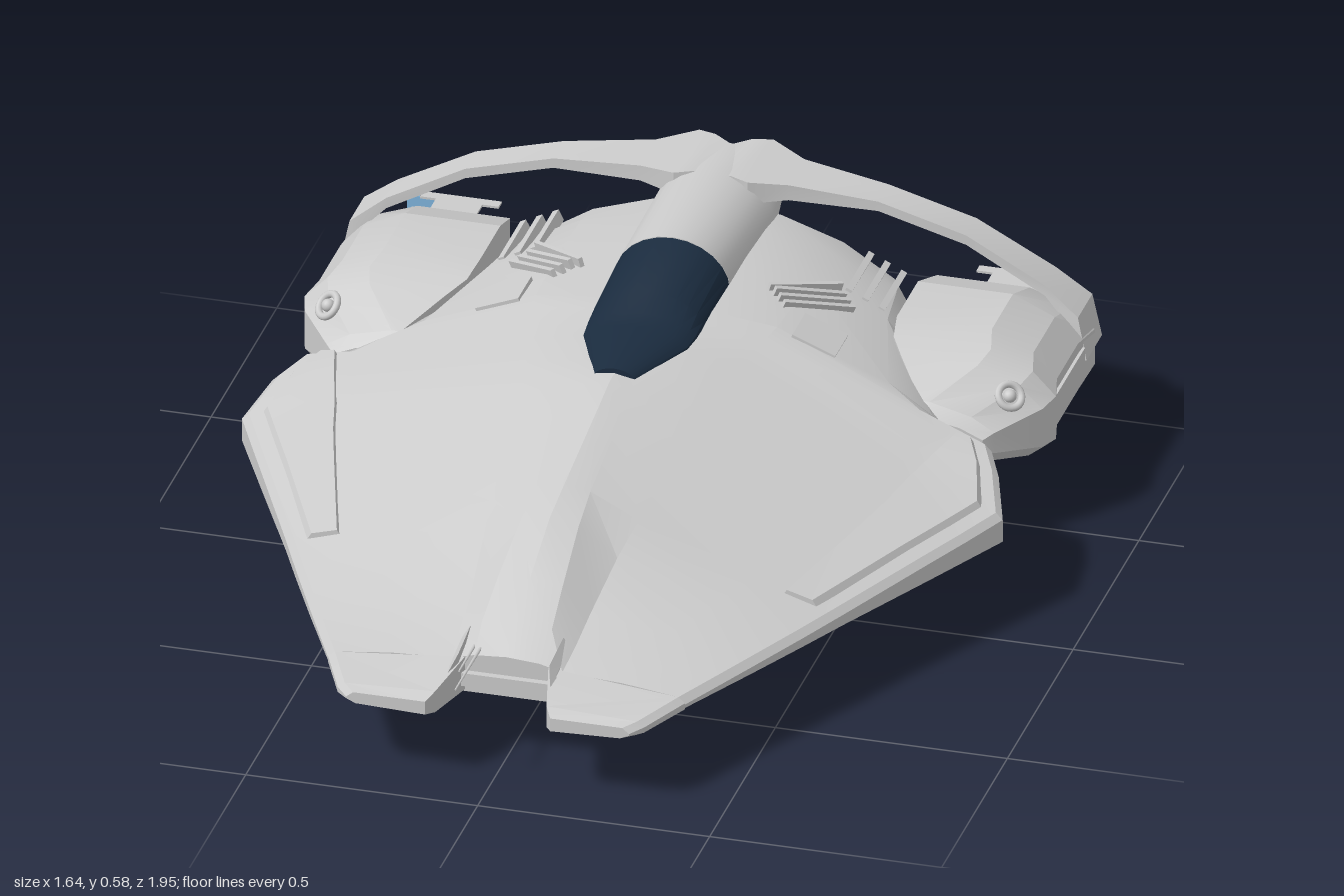
import * as THREE from 'three';
import { toCreasedNormals } from 'three/addons/utils/BufferGeometryUtils.js';
import { RoundedBoxGeometry } from 'three/addons/geometries/RoundedBoxGeometry.js';

const grey = new THREE.MeshStandardMaterial({ color: 0xcccccc });
const glass = new THREE.MeshStandardMaterial({ color: 0x1a2b3e });
const glow = new THREE.MeshStandardMaterial({ color: 0x7fb4dc });

// Closed skin over rings of [x, y, z] points, capped at both ends, always facing outward
function loft(rings, crease = 0.4) {
  const n = rings[0].length, pts = rings.flat(), idx = [];
  for (let i = 0; i < rings.length - 1; i++) {
    for (let k = 0; k < n; k++) {
      const a = i * n + k, b = i * n + (k + 1) % n;
      idx.push(a, a + n, b, b, a + n, b + n);
    }
  }
  [0, rings.length - 1].forEach((r, end) => {
    const c = pts.length;
    pts.push([0, 1, 2].map(d => rings[r].reduce((s, p) => s + p[d], 0) / n));
    for (let k = 0; k < n; k++) {
      const a = r * n + k, b = r * n + (k + 1) % n;
      idx.push(...(end ? [c, b, a] : [c, a, b]));
    }
  });
  const v = pts.map(p => new THREE.Vector3(...p));
  let volume = 0;
  for (let i = 0; i < idx.length; i += 3) {
    volume += v[idx[i]].dot(v[idx[i + 1]].clone().cross(v[idx[i + 2]]));
  }
  if (volume < 0) idx.reverse();
  const g = new THREE.BufferGeometry().setFromPoints(v);
  g.setIndex(idx);
  return toCreasedNormals(g, crease);
}

// Hull stations: z, top y, ridge, shoulder, wing crease, edge x / top / bottom, belly, keel side, keel
const foreHull = [
  [0.78, 0.24, 0.07, 0.235, 0.12, 0.222, 0.25, 0.215, 0.385, 0.2, 0.165, 0.27, 0.155, 0.17, 0.152, 0.1, 0.148],
  [0.7, 0.285, 0.075, 0.275, 0.125, 0.24, 0.27, 0.226, 0.425, 0.203, 0.165, 0.3, 0.152, 0.18, 0.148, 0.11, 0.138],
  [0.6, 0.335, 0.07, 0.325, 0.13, 0.27, 0.3, 0.243, 0.475, 0.207, 0.165, 0.33, 0.15, 0.19, 0.143, 0.12, 0.126],
  [0.45, 0.4, 0.062, 0.388, 0.145, 0.325, 0.37, 0.262, 0.548, 0.212, 0.165, 0.37, 0.147, 0.2, 0.137, 0.14, 0.11],
  [0.34, 0.422, 0.056, 0.412, 0.16, 0.36, 0.42, 0.268, 0.6, 0.216, 0.165, 0.4, 0.145, 0.21, 0.13, 0.15, 0.097],
  [0.1, 0.466, 0.05, 0.455, 0.18, 0.415, 0.51, 0.288, 0.72, 0.232, 0.166, 0.42, 0.145, 0.21, 0.12, 0.16, 0.068],
  [0, 0.486, 0.055, 0.475, 0.19, 0.436, 0.55, 0.297, 0.77, 0.238, 0.167, 0.42, 0.145, 0.21, 0.11, 0.168, 0.014],
];
const aftHull = [
  [-0.1, 0.49, 0.1, 0.475, 0.21, 0.45, 0.58, 0.308, 0.82, 0.246, 0.168, 0.42, 0.145, 0.21, 0.1, 0.17, 0.012],
  [-0.2, 0.493, 0.12, 0.477, 0.225, 0.455, 0.61, 0.318, 0.783, 0.29, 0.169, 0.42, 0.145, 0.21, 0.1, 0.17, 0.012],
  [-0.28, 0.495, 0.122, 0.478, 0.24, 0.46, 0.63, 0.325, 0.745, 0.304, 0.17, 0.42, 0.145, 0.21, 0.1, 0.17, 0.012],
  [-0.315, 0.5, 0.123, 0.482, 0.25, 0.465, 0.58, 0.345, 0.67, 0.3, 0.18, 0.41, 0.145, 0.21, 0.1, 0.17, 0.012],
  [-0.36, 0.5, 0.124, 0.485, 0.26, 0.47, 0.5, 0.375, 0.61, 0.31, 0.19, 0.4, 0.14, 0.21, 0.1, 0.168, 0.012],
  [-0.6, 0.5, 0.13, 0.49, 0.27, 0.46, 0.43, 0.39, 0.51, 0.31, 0.18, 0.37, 0.12, 0.22, 0.09, 0.16, 0.02],
  [-0.74, 0.5, 0.135, 0.485, 0.27, 0.45, 0.41, 0.38, 0.48, 0.3, 0.19, 0.35, 0.14, 0.23, 0.11, 0.155, 0.055],
  [-0.83, 0.49, 0.135, 0.475, 0.27, 0.43, 0.38, 0.36, 0.43, 0.28, 0.2, 0.34, 0.18, 0.24, 0.16, 0.15, 0.13],
];
const stations = [...foreHull, ...aftHull];

function hullRing([z, yt, x1, y1, x2, y2, x3, y3, xe, ye, yf, x5, y5, x6, y6, x7, yb]) {
  const half = [[x1, y1], [x2, y2], [x3, y3], [xe - 0.015, ye], [xe, ye - 0.015], [xe, yf + 0.012], [xe - 0.02, yf],
    [x5, y5], [x6, y6], [x7, yb]];
  return [[0, yt], ...half, [0, yb], ...half.map(([x, y]) => [-x, y]).reverse()].map(p => [...p, z]);
}

// Height of the upper skin, for seating small parts
function topY(x, z) {
  const i = Math.max(0, Math.min(stations.length - 2, stations.findIndex(s => s[0] <= z) - 1));
  const a = stations[i], b = stations[i + 1], t = (a[0] - z) / (a[0] - b[0]);
  const s = a.map((v, k) => v + (b[k] - v) * t);
  const p = [[0, s[1]], [s[2], s[3]], [s[4], s[5]], [s[6], s[7]], [s[8], s[9]]];
  const ax = Math.abs(x), k = Math.max(1, p.findIndex(q => q[0] >= ax));
  return p[k - 1][1] + (p[k][1] - p[k - 1][1]) * (ax - p[k - 1][0]) / (p[k][0] - p[k - 1][0]);
}

// Domed cross-section with a flat base
const dome = ([z, w, base, top]) => Array.from({ length: 13 }, (_, i) => {
  const a = Math.PI * i / 12;
  return [w * Math.cos(a), base + (top - base) * Math.sin(a), z];
});

export function createModel() {
  const model = new THREE.Group();
  const add = (name, geo, mat = grey, pos = [0, 0, 0], parent = model) => {
    const m = new THREE.Mesh(geo, mat);
    m.name = name;
    m.position.set(...pos);
    parent.add(m);
    return m;
  };
  const box = (name, size, pos, mat = grey) => add(name, new THREE.BoxGeometry(...size), mat, pos);
  // Plate lying on the upper skin
  const plate = (name, size, x, z, yaw = 0) => {
    const m = box(name, size, [x, topY(x, z) + 0.002, z]);
    const tilt = Math.atan2(topY(x + 0.01, z) - topY(x - 0.01, z), 0.02);
    m.rotation.set(0, yaw, tilt, 'ZYX');
  };

  add('hull', loft(stations.map(hullRing), 0.3));
  add('canopy', loft([[-0.04, 0.047, 0.47, 0.498], [-0.2, 0.115, 0.47, 0.515], [-0.25, 0.12, 0.47, 0.522],
    [-0.3, 0.121, 0.47, 0.547], [-0.48, 0.124, 0.475, 0.58]].map(dome)), glass);
  add('spine', loft([[-0.48, 0.125, 0.472, 0.582], [-0.8, 0.132, 0.46, 0.582], [-0.93, 0.12, 0.51, 0.572]].map(dome)));

  // Rear arch bridging both engines: x, y, back z, front z, thickness
  const arch = [[0.04, 0.578, -0.95, -0.78, 0.05], [0.08, 0.573, -0.968, -0.77, 0.05], [0.16, 0.563, -0.92, -0.8, 0.035],
    [0.35, 0.547, -0.89, -0.81, 0.022], [0.54, 0.495, -0.89, -0.81, 0.022], [0.71, 0.402, -0.895, -0.81, 0.024],
    [0.785, 0.345, -0.905, -0.795, 0.03], [0.805, 0.25, -0.908, -0.79, 0.035]];
  const archRing = ([x, y, zb, zf, t], s) => {
    const inX = x > 0.75 ? t : 0, down = x > 0.75 ? 0.01 : t;
    return [[s * x, y, zb], [s * x, y, zf], [s * (x - inX), y - down, zf], [s * (x - inX), y - down, zb]];
  };
  add('rearArch', loft([...arch.map(a => archRing(a, -1)).reverse(),
    archRing([0, 0.57, -0.93, -0.78, 0.05], 1), ...arch.map(a => archRing(a, 1))]));

  // Belly plates under the keel
  box('bellyHatch', [0.32, 0.02, 0.32], [0, 0.014, -0.16]);
  box('bellyRearPlate', [0.24, 0.014, 0.2], [0, 0.016, -0.47]);

  // Nose notch plate and probes
  box('noseLip', [0.19, 0.03, 0.02], [0, 0.182, 0.785]);
  [[-0.062, 0.95], [-0.077, 0.87]].forEach(([x, tip]) => {
    const probe = add('noseProbe', new THREE.CylinderGeometry(0.002, 0.004, tip - 0.72, 8), grey, [x, 0.242, (tip + 0.72) / 2]);
    probe.rotation.x = Math.PI / 2;
  });

  // Rear door frame
  const outline = (pts, s = 1) => pts.map(([x, y]) => new THREE.Vector2(s * x, y));
  const door = new THREE.Shape(outline([[-0.11, 0.13], [0.11, 0.13], [0.13, 0.4], [0.08, 0.47], [-0.08, 0.47], [-0.13, 0.4]]));
  door.holes.push(new THREE.Path(outline([[-0.07, 0.17], [-0.09, 0.38], [-0.06, 0.43], [0.06, 0.43], [0.09, 0.38], [0.07, 0.17]])));
  add('rearDoorFrame', new THREE.ExtrudeGeometry(door, { depth: 0.05, bevelEnabled: false }), grey, [0, 0, -0.865]);
  box('rearDoor', [0.08, 0.22, 0.02], [0, 0.28, -0.835]);

  for (const s of [1, -1]) {
    // Nose prong: z, inner x, outer x, inner top, outer top, inner bottom, outer bottom
    add('noseProng', loft([[0.78, 0.09, 0.385, 0.228, 0.2, 0.152, 0.165], [0.9, 0.12, 0.33, 0.204, 0.196, 0.155, 0.163],
      [0.925, 0.135, 0.305, 0.19, 0.19, 0.16, 0.165]].map(([z, xi, xo, a, b, c, d]) =>
      [[xi, a], [xo - 0.015, b], [xo, b - 0.012], [xo, d + 0.009], [xo - 0.02, d], [xi, c]].map(([x, y]) => [s * x, y, z]))));
    add('noseFin', loft([[0.7, 0.1, 0.26], [0.8, 0.098, 0.245], [0.86, 0.118, 0.2]].map(([z, x, y]) =>
      [[s * x, y, z], [s * (x + 0.015), y - 0.02, z], [s * (x + 0.015), 0.17, z], [s * x, 0.17, z]])));

    // Raised armour along the wing edge: z, inner x, outer x
    add('wingArmour', loft([[0.36, 0.47, 0.56], [0.1, 0.55, 0.685], [0, 0.58, 0.735], [-0.1, 0.605, 0.785], [-0.2, 0.635, 0.755], [-0.275, 0.655, 0.72]].map(([z, xi, xo]) =>
      [[xi, -0.02], [xi + 0.015, 0.008], [xo - 0.02, 0.008], [xo, -0.02]].map(([x, h]) => [s * x, topY(x, z) + h, z]))));

    // Engine nacelle: z, inner x, outer x, bottom, top
    add('nacelle', loft([[-0.37, 0.58, 0.7, 0.21, 0.3], [-0.39, 0.56, 0.72, 0.2, 0.325], [-0.49, 0.49, 0.795, 0.175, 0.37], [-0.54, 0.46, 0.81, 0.17, 0.385],
      [-0.6, 0.45, 0.795, 0.17, 0.4], [-0.76, 0.45, 0.795, 0.17, 0.4], [-0.87, 0.46, 0.8, 0.175, 0.36], [-0.9, 0.48, 0.79, 0.19, 0.335]].map(([z, xi, xo, b, t]) =>
      [[xi, b], [xo - 0.03, b], [xo, b + 0.025], [xo, b + (t - b) * 0.58], [xo - 0.05, b + (t - b) * 0.82],
        [xo - 0.14, t], [xi, t]].map(([x, y]) => [s * x, y, z])), 0.3));
    box('nacelleSidePanel', [0.014, 0.06, 0.22], [s * 0.795, 0.25, -0.68]);

    // Round port on the nacelle's front corner
    const port = new THREE.Group();
    port.name = 'nacellePort';
    port.position.set(s * 0.735, 0.328, -0.455);
    port.lookAt(s * 1.235, 0.928, 0.045);
    add('portRim', new THREE.TorusGeometry(0.026, 0.008, 10, 24), grey, [0, 0, 0], port);
    add('portCore', new THREE.SphereGeometry(0.014, 16, 10), grey, [0, 0, 0], port);
    model.add(port);

    // Thruster with a thin visor above and a glowing sheet behind
    add('thrusterHousing', new RoundedBoxGeometry(0.2, 0.1, 0.07, 3, 0.02), grey, [s * 0.6, 0.278, -0.905]);
    add('thrusterThroat', new RoundedBoxGeometry(0.16, 0.08, 0.05, 2, 0.012), grey, [s * 0.6, 0.278, -0.93]);
    box('thrusterVisorArm', [0.1, 0.005, 0.06], [s * 0.6, 0.322, -0.95]);
    box('thrusterVisor', [0.17, 0.005, 0.024], [s * 0.6, 0.322, -0.988]);
    box('thrusterGlow', [0.11, 0.08, 0.003], [s * 0.66, 0.28, -0.985], glow);

    // Rear bay frame beside the door
    const bay = new THREE.Shape(outline([[0.14, 0.21], [0.34, 0.22], [0.39, 0.28], [0.34, 0.36], [0.25, 0.42], [0.15, 0.42]], s));
    bay.holes.push(new THREE.Path(outline([[0.17, 0.24], [0.32, 0.25], [0.35, 0.28], [0.31, 0.34], [0.24, 0.39], [0.18, 0.39]], s)));
    add('rearBayFrame', new THREE.ExtrudeGeometry(bay, { depth: 0.03, bevelEnabled: false }), grey, [0, 0, -0.85]);

    // Curved skid along the rear keel
    add('keelSkid', loft([[-0.36, 0.1, 0.05], [-0.5, 0.09, 0.025], [-0.65, 0.1, 0.025], [-0.75, 0.13, 0.06], [-0.82, 0.18, 0.13]].map(([z, t, b]) =>
      [[s * 0.14, t, z], [s * 0.215, t, z], [s * 0.185, b, z], [s * 0.14, b, z]])));

    // Deck louvres: three straight ribs and four diagonal ones
    for (let i = 0; i < 3; i++) plate('deckRib', [0.014, 0.026, 0.17], s * (0.335 + i * 0.035), -0.71);
    for (let i = 0; i < 4; i++) plate('deckLouvre', [0.01, 0.022, 0.17], s * (0.265 + i * 0.014), -0.555 + i * 0.0165, -s * 0.88);
    plate('deckPanel', [0.1, 0.01, 0.1], s * 0.34, -0.4);
    box('bellyPod', [0.07, 0.03, 0.18], [s * 0.33, 0.142, -0.15]);
    box('wingUnderPanel', [0.09, 0.02, 0.12], [s * 0.36, 0.152, 0.45]);
  }
  return model;
}
